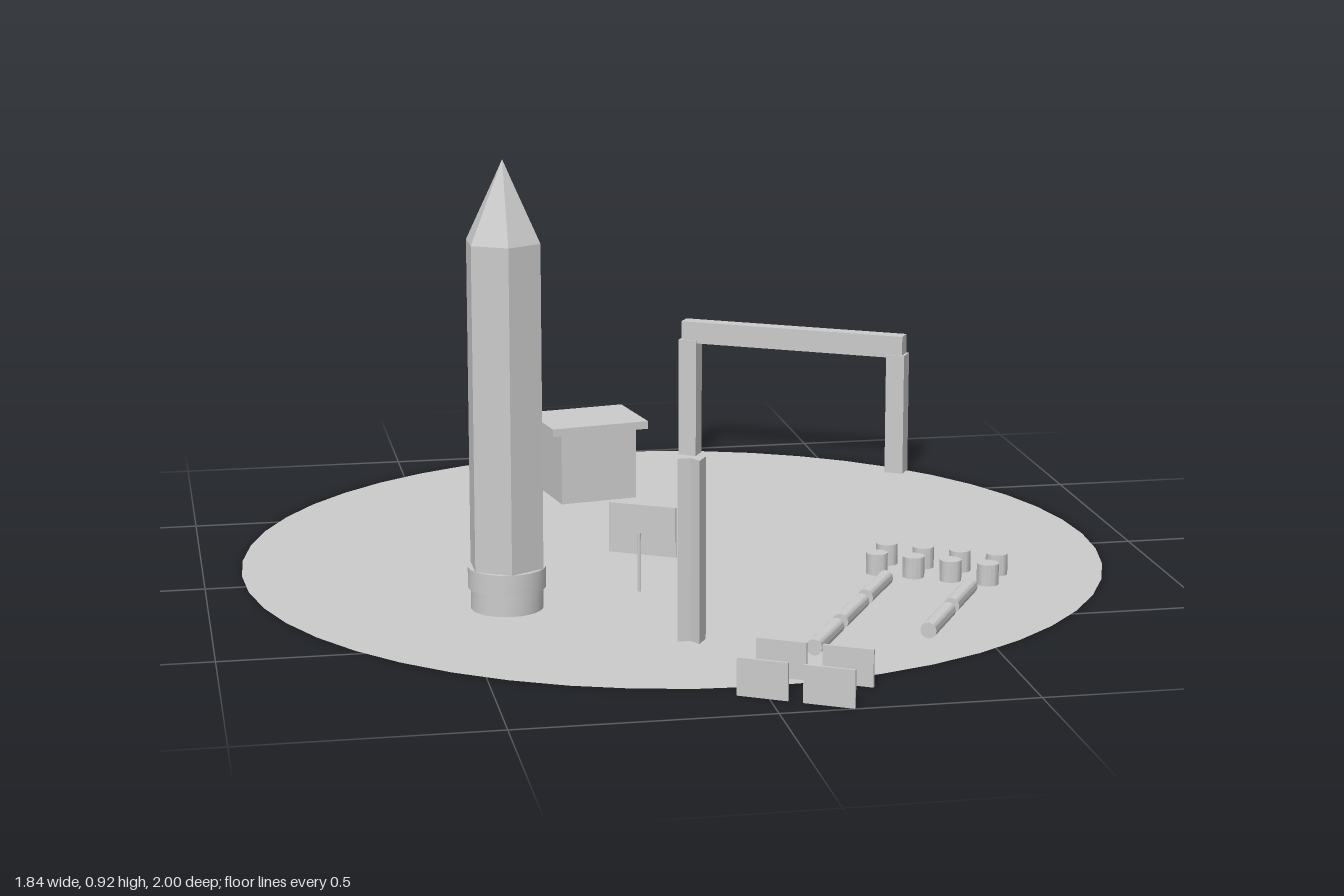
import * as THREE from 'three';
import { toCreasedNormals } from 'three/addons/utils/BufferGeometryUtils.js';

export function createModel() {
  const root = new THREE.Group();
  const mat = new THREE.MeshStandardMaterial({ color: 0xcccccc });
  const both = new THREE.MeshStandardMaterial({ color: 0xcccccc, side: THREE.DoubleSide });
  const TURN = -Math.PI / 6; // shared heading of the laid-out rows

  const add = (name, geo, x, y, z, parent = root, material = mat) => {
    const m = new THREE.Mesh(geo, material);
    m.name = name;
    m.position.set(x, y, z);
    parent.add(m);
    return m;
  };
  const group = (name, x, z, ry) => {
    const g = new THREE.Group();
    g.name = name;
    g.position.set(x, 0, z);
    g.rotation.y = ry;
    root.add(g);
    return g;
  };
  const box = (w, h, d) => new THREE.BoxGeometry(w, h, d);
  const cyl = (rt, rb, h, n) => toCreasedNormals(new THREE.CylinderGeometry(rt, rb, h, n), 0.7);

  // Ground disc
  add('ground', new THREE.CircleGeometry(0.92, 48).rotateX(-Math.PI / 2), 0, 0, -0.08, root, both);

  // Giant upright pencil
  const pencil = group('pencilTower', -0.4, 0.24, 0);
  add('eraser', cyl(0.074, 0.074, 0.045, 24), 0, 0.0225, 0, pencil);
  add('ferrule', cyl(0.08, 0.08, 0.043, 24), 0, 0.0665, 0, pencil);
  add('hexBody', cyl(0.08, 0.08, 0.67, 6), 0, 0.42, 0, pencil);
  add('sharpenedCone', cyl(0.019, 0.08, 0.125, 6), 0, 0.8175, 0, pencil);
  add('lead', cyl(0, 0.019, 0.04, 6), 0, 0.9, 0, pencil);

  // Kiosk with an overhanging flat roof
  const kiosk = group('kiosk', -0.097, -0.627, 0.18);
  add('kioskBody', box(0.18, 0.165, 0.155), 0, 0.0825, 0, kiosk);
  add('kioskRoof', box(0.23, 0.018, 0.18), 0, 0.172, 0, kiosk);

  // Entrance gate: two posts and a beam
  const gate = group('gate', 0.43, -0.825, TURN);
  for (const s of [-1, 1]) add('gatePost', box(0.044, 0.285, 0.044), s * 0.259, 0.1425, 0, gate);
  add('gateBeam', box(0.55, 0.052, 0.037), 0, 0.304, 0, gate);

  // Pillar with a pinched, bow-tie cross-section
  const bow = new THREE.Shape([
    [-0.023, -0.019], [0, -0.005], [0.023, -0.019],
    [0.023, 0.019], [0, 0.005], [-0.023, 0.019],
  ].map(([x, y]) => new THREE.Vector2(x, y)));
  const pillarGeo = new THREE.ExtrudeGeometry(bow, { depth: 0.37, bevelEnabled: false }).rotateX(-Math.PI / 2);
  add('pillar', pillarGeo, -0.074, 0, 0.532).rotation.y = TURN;

  // Sign board on a thin pole
  add('signBoard', box(0.147, 0.106, 0.006), -0.106, 0.126, 0.16).rotation.y = TURN;
  add('signPole', cyl(0.004, 0.004, 0.125, 8), -0.117, 0.0625, 0.18);

  // Upright panels at the front edge
  for (const [x, z] of [[0.05, 0.793], [0.164, 0.858], [-0.011, 0.907], [0.101, 0.972]])
    add('frontPanel', box(0.1, 0.074, 0.006), x, 0.037, z).rotation.y = TURN;

  // Two rows of lying logs
  const logGeo = cyl(0.0165, 0.0165, 0.15, 12).rotateX(Math.PI / 2);
  for (const [x, z, n] of [[0.352, 0.315, 3], [0.508, 0.405, 2]])
    for (let i = 0; i < n; i++)
      add('log', logGeo, x - i * 0.089, 0.022, z + i * 0.155).rotation.y = TURN;

  // Two rows of round stools
  const stoolGeo = cyl(0.023, 0.023, 0.045, 16);
  for (const [x, z] of [[0.438, 0.069], [0.399, 0.138]])
    for (let i = 0; i < 4; i++) add('stool', stoolGeo, x + i * 0.0693, 0.0225, z + i * 0.04);

  return root;
}
